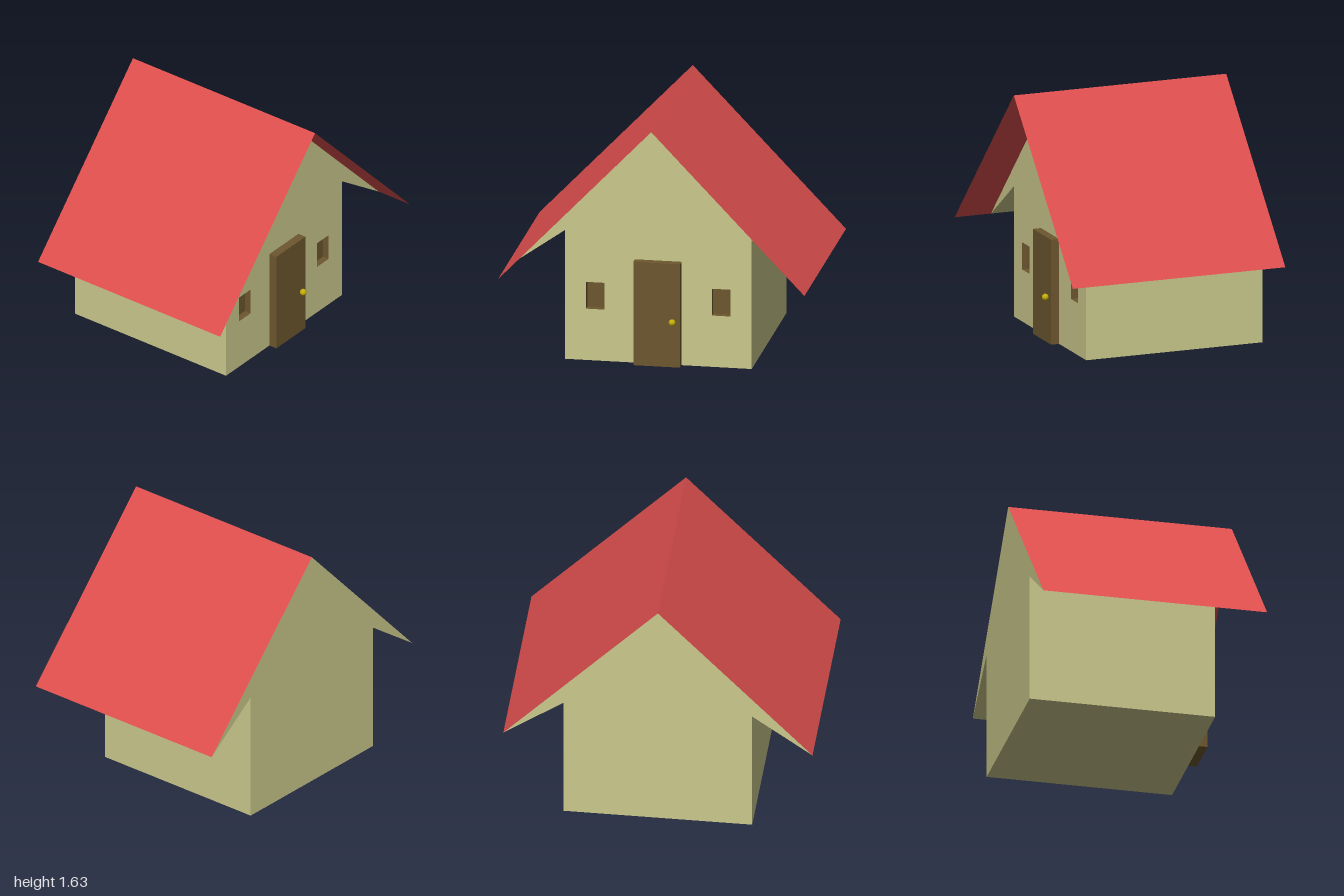
import * as THREE from 'three';

const FRONT = 0.485, BACK = -0.737, ROOF_FRONT = 0.737;
const WALL = 0.61, RIDGE = 1.635, EAVE = 0.59, SOFFIT = 0.865;

const paint = (color, side = THREE.FrontSide) =>
  new THREE.MeshStandardMaterial({ color, side });

const wallPaint = paint(0xcbc98c);
const woodPaint = paint(0x6d572f);
const recessPaint = paint(0x6d572f, THREE.BackSide);
const roofPaint = paint(0xdb4e4d, THREE.DoubleSide);
const brassPaint = paint(0xc4ae08);

// Sweeps an open outline of [x, y] points along z into flat panels
function sweep(points, z0, z1) {
  const pos = [];
  for (let i = 0; i < points.length - 1; i++) {
    const [ax, ay] = points[i], [bx, by] = points[i + 1];
    pos.push(ax, ay, z1, ax, ay, z0, bx, by, z0);
    pos.push(ax, ay, z1, bx, by, z0, bx, by, z1);
  }
  const geo = new THREE.BufferGeometry();
  geo.setAttribute('position', new THREE.Float32BufferAttribute(pos, 3));
  geo.computeVertexNormals();
  return geo;
}

export function createModel() {
  const house = new THREE.Group();
  house.name = 'house';
  const add = (name, geo, mat, x = 0, y = 0, z = 0) => {
    const mesh = new THREE.Mesh(geo, mat);
    mesh.name = name;
    mesh.position.set(x, y, z);
    house.add(mesh);
    return mesh;
  };

  // Outline below the roof: eave, soffit, wall, floor, wall, soffit, eave
  const lower = [
    [-1, EAVE], [-WALL, SOFFIT], [-WALL, 0],
    [WALL, 0], [WALL, SOFFIT], [1, EAVE],
  ];
  const gable = () =>
    new THREE.Shape([...lower, [0, RIDGE]].map(([x, y]) => new THREE.Vector2(x, y)));

  // Walls, floor and soffits
  add('wallsAndFloor', sweep(lower, BACK, FRONT), wallPaint);

  // Back gable
  add('backGable', new THREE.ShapeGeometry(gable()), wallPaint, 0, 0, BACK).rotation.y = Math.PI;

  // Front gable with window openings, each lined by a shallow recess
  const winW = 0.122, winH = 0.18, winX = 0.411, winY = 0.435, depth = 0.045;
  const frontShape = gable();
  for (const side of [-1, 1]) {
    const x = side * winX, w = winW / 2, h = winH / 2;
    frontShape.holes.push(new THREE.Path([
      new THREE.Vector2(x - w, winY - h), new THREE.Vector2(x - w, winY + h),
      new THREE.Vector2(x + w, winY + h), new THREE.Vector2(x + w, winY - h),
    ]));
    add(side > 0 ? 'leftWindow' : 'rightWindow',
      new THREE.BoxGeometry(winW, winH, depth), recessPaint, x, winY, FRONT - depth / 2);
  }
  add('frontGable', new THREE.ShapeGeometry(frontShape), wallPaint, 0, 0, FRONT);

  // Thin roof overhanging the front
  add('roof', sweep([[1, EAVE], [0, RIDGE], [-1, EAVE]], BACK, ROOF_FRONT), roofPaint);

  // Door and knob
  add('door', new THREE.BoxGeometry(0.306, 0.695, 0.056), woodPaint, 0, 0.3475, FRONT + 0.028);
  add('doorKnob', new THREE.SphereGeometry(0.022, 24, 16), brassPaint, 0.104, 0.306, 0.561);

  return house;
}
